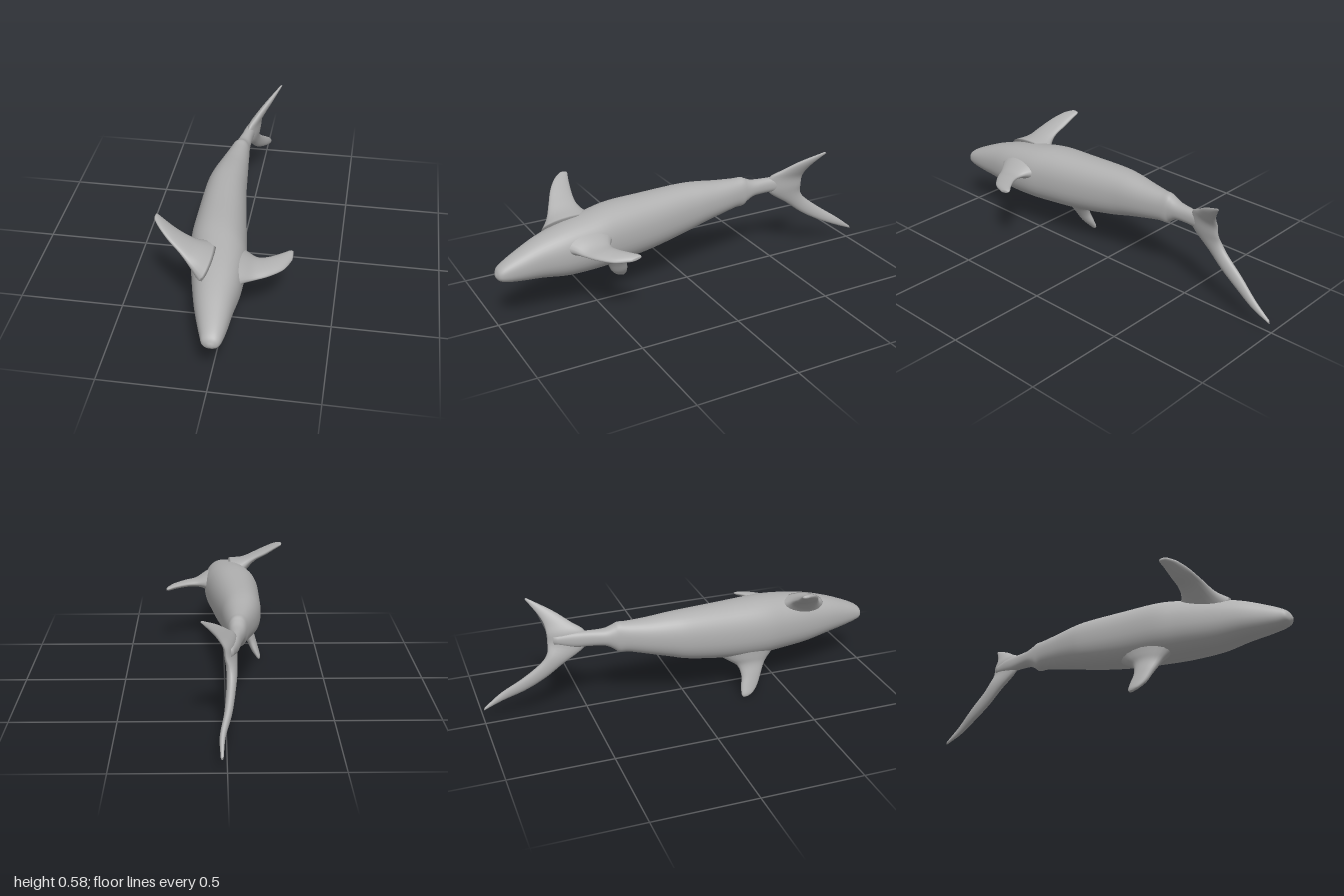
import * as THREE from 'three';

const skin = new THREE.MeshStandardMaterial({ color: 0xb0b0b0 });
skin.name = 'grey skin';

// Smooth closed loft. Each station holds a centre and two half-axis vectors.
function loft(name, stations, power, rings, sides) {
  const [centre, axisU, axisV] = [0, 1, 2].map(
    (k) => new THREE.CatmullRomCurve3(stations.map((s) => s[k]), false, 'catmullrom', 0.5));
  const pos = [], index = [];
  const squash = (v) => Math.sign(v) * Math.pow(Math.abs(v), 2 / power);
  for (let i = 0; i <= rings; i++) {
    const t = i / rings, c = centre.getPoint(t), u = axisU.getPoint(t), v = axisV.getPoint(t);
    for (let j = 0; j < sides; j++) {
      const a = (j / sides) * Math.PI * 2;
      const p = c.clone().addScaledVector(u, squash(Math.cos(a))).addScaledVector(v, squash(Math.sin(a)));
      pos.push(p.x, p.y, p.z);
      if (i < rings) {
        const k = (j + 1) % sides, q = i * sides;
        index.push(q + j, q + k, q + sides + j, q + k, q + sides + k, q + sides + j);
      }
    }
  }
  // End caps
  const first = stations[0][0], last = stations[stations.length - 1][0];
  const n = (rings + 1) * sides;
  pos.push(first.x, first.y, first.z, last.x, last.y, last.z);
  for (let j = 0; j < sides; j++) {
    const k = (j + 1) % sides, q = rings * sides;
    index.push(n, k, j, n + 1, q + j, q + k);
  }
  // Turn faces outward if the signed volume is negative
  const P = (i) => new THREE.Vector3().fromArray(pos, i * 3).sub(first);
  let volume = 0;
  for (let i = 0; i < index.length; i += 3) {
    volume += P(index[i]).dot(P(index[i + 1]).cross(P(index[i + 2])));
  }
  if (volume < 0) index.reverse();
  const geo = new THREE.BufferGeometry();
  geo.setAttribute('position', new THREE.Float32BufferAttribute(pos, 3));
  geo.setIndex(index);
  geo.computeVertexNormals();
  const mesh = new THREE.Mesh(geo, skin);
  mesh.name = name;
  return mesh;
}

const vec = (a) => new THREE.Vector3(...a);

// Fin rows: [leading point, trailing point, half thickness]
function fin(name, normal, rows) {
  const n = vec(normal).normalize();
  return loft(name, rows.map(([lead, trail, thick]) => {
    const a = vec(lead), b = vec(trail);
    return [a.clone().add(b).multiplyScalar(0.5), a.clone().sub(b).multiplyScalar(0.5),
      n.clone().multiplyScalar(thick)];
  }), 2, 36, 20);
}

export function createModel() {
  const group = new THREE.Group();
  group.name = 'shark';

  // Body rows: z, x min, x max, y min, y max
  const body = [
    [1.0, 0.01, 0.03, 0.262, 0.278],
    [0.985, -0.02, 0.055, 0.243, 0.303],
    [0.95, -0.035, 0.067, 0.23, 0.327],
    [0.88, -0.06, 0.077, 0.218, 0.36],
    [0.78, -0.092, 0.086, 0.205, 0.4],
    [0.65, -0.125, 0.1, 0.184, 0.437],
    [0.5, -0.158, 0.1, 0.179, 0.463],
    [0.38, -0.178, 0.083, 0.18, 0.476],
    [0.2, -0.181, 0.056, 0.193, 0.477],
    [0.0, -0.178, 0.025, 0.226, 0.477],
    [-0.1, -0.165, 0.014, 0.253, 0.472],
    [-0.2, -0.142, 0.004, 0.279, 0.462],
    [-0.3, -0.115, -0.006, 0.303, 0.457],
    [-0.345, -0.103, -0.01, 0.306, 0.458],
    [-0.37, -0.097, -0.013, 0.325, 0.447],
    [-0.41, -0.088, -0.015, 0.347, 0.433],
    [-0.48, -0.072, -0.015, 0.353, 0.431],
    [-0.56, -0.058, -0.008, 0.355, 0.43],
    [-0.65, -0.03, 0.005, 0.375, 0.415],
  ].map(([z, x0, x1, y0, y1]) => [
    vec([(x0 + x1) / 2, (y0 + y1) / 2, z]), vec([(x1 - x0) / 2, 0, 0]), vec([0, (y1 - y0) / 2, 0])]);
  group.add(loft('body', body, 2.25, 90, 40));

  // Side fins
  group.add(fin('leftFin', [0, 1, 0.05], [
    [[0.04, 0.34, 0.72], [0.04, 0.35, 0.4], 0.08],
    [[0.1, 0.345, 0.66], [0.1, 0.355, 0.455], 0.042],
    [[0.15, 0.335, 0.62], [0.15, 0.35, 0.478], 0.022],
    [[0.21, 0.333, 0.582], [0.2, 0.35, 0.465], 0.018],
    [[0.27, 0.332, 0.525], [0.255, 0.35, 0.428], 0.015],
    [[0.3, 0.335, 0.46], [0.288, 0.348, 0.4], 0.011],
    [[0.304, 0.338, 0.44], [0.303, 0.345, 0.4], 0.006],
  ]));
  group.add(fin('rightFin', [0.56, 0.83, 0], [
    [[-0.06, 0.4, 0.74], [-0.06, 0.41, 0.47], 0.06],
    [[-0.115, 0.43, 0.69], [-0.12, 0.45, 0.515], 0.033],
    [[-0.17, 0.475, 0.655], [-0.165, 0.478, 0.525], 0.02],
    [[-0.23, 0.517, 0.62], [-0.22, 0.507, 0.518], 0.017],
    [[-0.275, 0.548, 0.582], [-0.27, 0.54, 0.508], 0.013],
    [[-0.3, 0.562, 0.55], [-0.3, 0.56, 0.5], 0.009],
    [[-0.307, 0.567, 0.535], [-0.307, 0.566, 0.505], 0.005],
  ]));

  // Central fin
  group.add(fin('centralFin', [0.92, -0.4, 0], [
    [[-0.09, 0.23, 0.48], [-0.09, 0.23, 0.13], 0.07],
    [[-0.11, 0.18, 0.425], [-0.11, 0.185, 0.2], 0.045],
    [[-0.122, 0.145, 0.395], [-0.122, 0.15, 0.25], 0.031],
    [[-0.143, 0.1, 0.37], [-0.143, 0.1, 0.265], 0.024],
    [[-0.163, 0.05, 0.345], [-0.163, 0.05, 0.256], 0.019],
    [[-0.18, 0.018, 0.315], [-0.18, 0.015, 0.254], 0.012],
    [[-0.185, 0.004, 0.29], [-0.185, 0.001, 0.262], 0.006],
  ]));

  // Forked tail, swept from the long lower lobe to the short upper lobe
  group.add(fin('tail', [1, -0.1, 0], [
    [[0.022, 0.06, -1.0], [0.022, 0.077, -0.993], 0.006],
    [[0.02, 0.1, -0.905], [0.018, 0.143, -0.91], 0.013],
    [[-0.003, 0.147, -0.8], [-0.008, 0.213, -0.81], 0.018],
    [[-0.018, 0.205, -0.7], [-0.02, 0.283, -0.72], 0.021],
    [[-0.03, 0.275, -0.61], [-0.018, 0.33, -0.685], 0.024],
    [[-0.04, 0.355, -0.5], [-0.002, 0.375, -0.677], 0.023],
    [[-0.035, 0.43, -0.5], [0.005, 0.422, -0.677], 0.023],
    [[-0.002, 0.473, -0.56], [0.028, 0.465, -0.682], 0.02],
    [[0.045, 0.523, -0.635], [0.058, 0.508, -0.703], 0.015],
    [[0.104, 0.577, -0.742], [0.107, 0.571, -0.75], 0.004],
  ]));
  return group;
}
